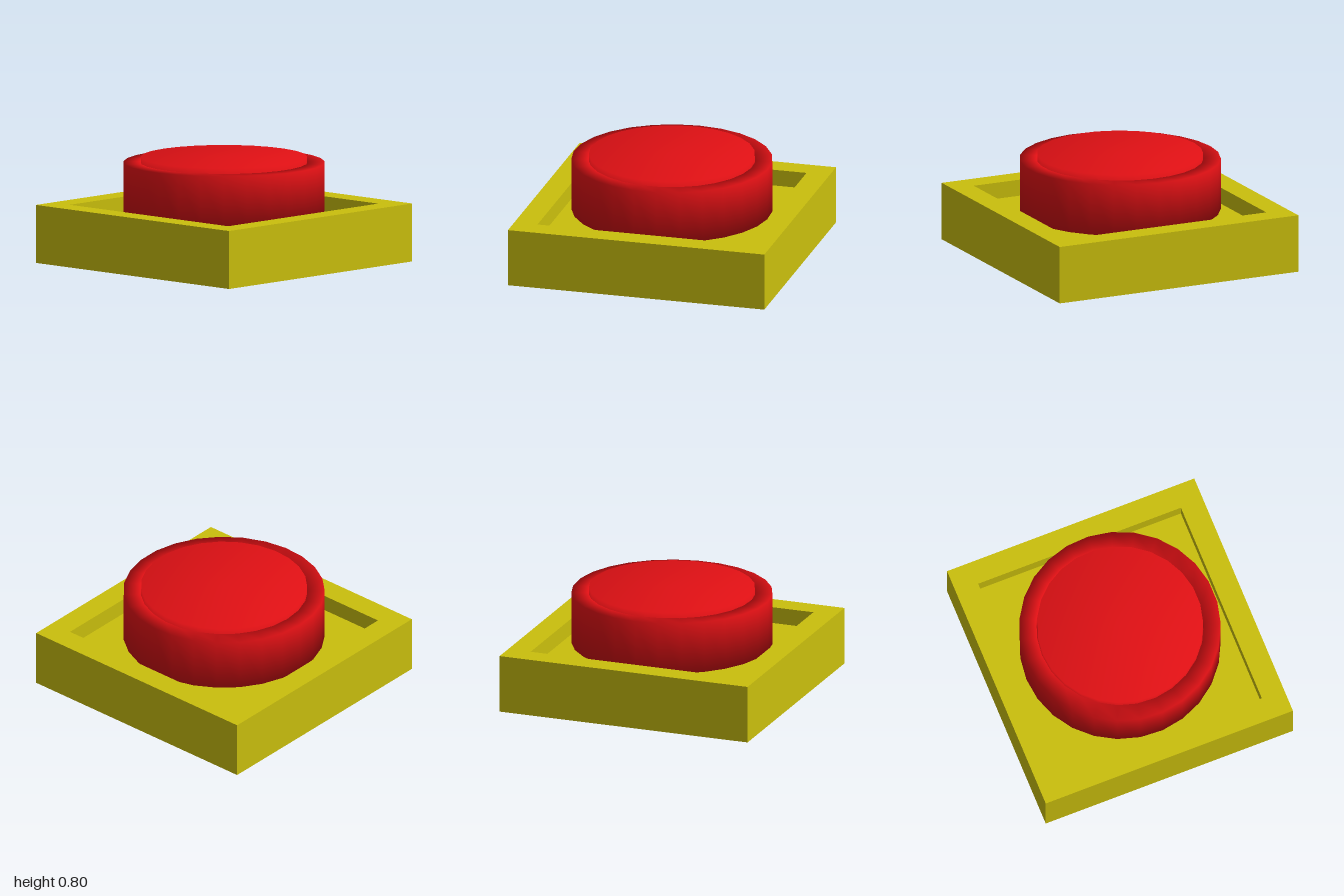
import * as THREE from 'three';

// Spins a [radius, height] profile, listed from bottom centre to top centre
function spin(name, profile, sides, start, color, flat) {
  const points = profile.map(([r, y]) => new THREE.Vector2(r, y));
  let geometry = new THREE.LatheGeometry(points, sides, start);
  if (flat) {
    geometry = geometry.toNonIndexed();
    geometry.computeVertexNormals();
  }
  const material = new THREE.MeshStandardMaterial({ color, flatShading: flat });
  const mesh = new THREE.Mesh(geometry, material);
  mesh.name = name;
  return mesh;
}

export function createModel() {
  const group = new THREE.Group();
  group.name = 'pushButton';

  // Square base with a shallow square recess: four sides, so radii are corner distances
  const corner = Math.SQRT2;
  const recess = 0.82 * corner;
  group.add(spin('base', [
    [0, 0], [corner, 0], [corner, 0.44],
    [recess, 0.44], [recess, 0.315], [0, 0.315],
  ], 4, Math.PI / 4, 0xcabf0d, true));

  // Round button: outer body, narrow groove, and a slightly raised cap
  group.add(spin('button', [
    [0, 0.365], [0.757, 0.365], [0.757, 0.76],
    [0.63, 0.76], [0.63, 0.62], [0.625, 0.62],
    [0.625, 0.8], [0, 0.8],
  ], 27, Math.PI, 0xe01014, false));

  return group;
}
